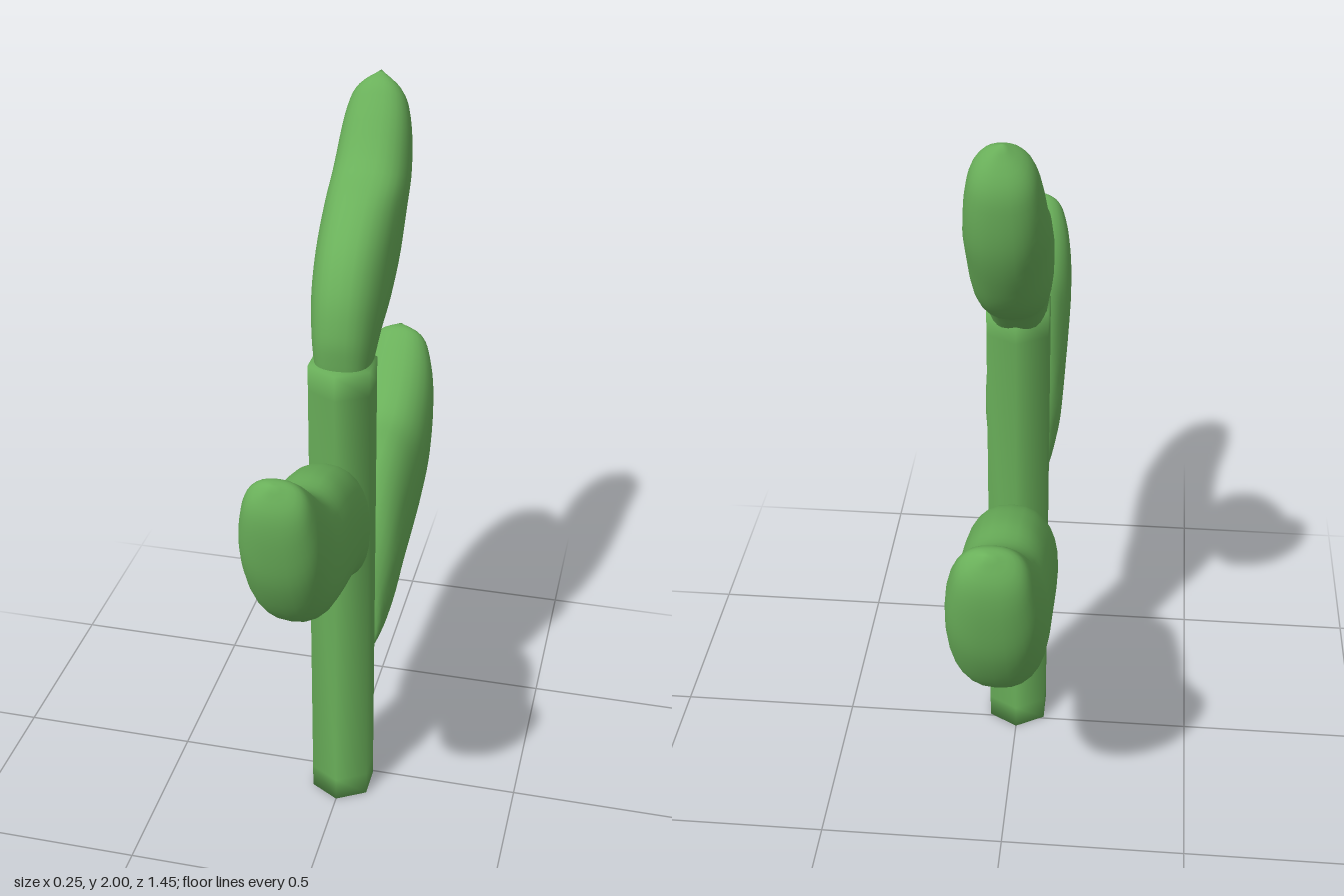
import * as THREE from 'three';
import { mergeVertices } from 'three/addons/utils/BufferGeometryUtils.js';

const green = new THREE.MeshStandardMaterial({ color: 0x6ab05a });

// Weld coincident corners so the shading runs smoothly over the whole part
function smooth(geometry) {
  geometry.deleteAttribute('uv');
  geometry.deleteAttribute('normal');
  const welded = mergeVertices(geometry, 1e-5);
  welded.computeVertexNormals();
  return welded;
}

// Leaf lofted towards -z. Each row: lower edge (reach, y), upper edge (reach, y), half width
function leafGeometry(rows) {
  const RINGS = 44, SIDES = 28;
  const lower = new THREE.CatmullRomCurve3(rows.map(r => new THREE.Vector3(r[4], r[1], -r[0])), false, 'catmullrom');
  const upper = new THREE.CatmullRomCurve3(rows.map(r => new THREE.Vector3(r[4], r[3], -r[2])), false, 'catmullrom');
  const soften = v => Math.sign(v) * Math.abs(v) ** 0.85; // slightly squared oval
  const positions = [], index = [];
  for (let i = 0; i <= RINGS; i++) {
    const lo = lower.getPoint(i / RINGS), up = upper.getPoint(i / RINGS);
    for (let j = 0; j < SIDES; j++) {
      const a = j / SIDES * Math.PI * 2;
      const s = soften(Math.sin(a)) / 2;
      positions.push(lo.x * soften(Math.cos(a)),
        (lo.y + up.y) / 2 + (up.y - lo.y) * s,
        (lo.z + up.z) / 2 + (up.z - lo.z) * s);
      if (i < RINGS) {
        const k = (j + 1) % SIDES, p = i * SIDES, q = p + SIDES;
        index.push(p + j, q + j, p + k, p + k, q + j, q + k);
      }
    }
  }
  const g = new THREE.BufferGeometry();
  g.setAttribute('position', new THREE.Float32BufferAttribute(positions, 3));
  g.setIndex(index);
  return smooth(g);
}

const sideLeaf = [
  [0, 0.53, 0, 0.53, 0],
  [0.003, 0.435, 0, 0.62, 0.075],
  [0.03, 0.415, 0.02, 0.73, 0.1],
  [0.12, 0.465, 0.08, 0.83, 0.12],
  [0.24, 0.515, 0.17, 0.90, 0.125],
  [0.38, 0.54, 0.30, 0.948, 0.125],
  [0.50, 0.58, 0.42, 0.968, 0.125],
  [0.60, 0.655, 0.50, 1.01, 0.125],
  [0.68, 0.795, 0.575, 1.07, 0.118],
  [0.715, 0.93, 0.63, 1.115, 0.1],
  [0.725, 1.05, 0.665, 1.137, 0.07],
  [0.70, 1.137, 0.70, 1.137, 0],
];

const topLeaf = [
  [-0.05, 1.30, -0.05, 1.30, 0],
  [0, 1.32, -0.10, 1.33, 0.06],
  [0.035, 1.355, -0.117, 1.41, 0.075],
  [0.10, 1.42, -0.118, 1.48, 0.085],
  [0.19, 1.465, -0.095, 1.575, 0.095],
  [0.285, 1.535, -0.035, 1.67, 0.1],
  [0.35, 1.63, 0.07, 1.755, 0.1],
  [0.395, 1.73, 0.19, 1.815, 0.098],
  [0.415, 1.83, 0.285, 1.93, 0.085],
  [0.415, 1.91, 0.33, 1.98, 0.06],
  [0.38, 1.998, 0.38, 1.998, 0],
];

export function createModel() {
  const group = new THREE.Group();
  group.name = 'plant';
  const add = (name, geometry) => {
    const mesh = new THREE.Mesh(geometry, green);
    mesh.name = name;
    group.add(mesh);
    return mesh;
  };

  // Six-sided stem, softly shaded at both ends
  const profile = [[0, 0], [0.092, 0], [0.092, 0.07], [0.092, 1.31], [0.092, 1.38], [0, 1.38]];
  const stem = add('stem', smooth(new THREE.LatheGeometry(profile.map(p => new THREE.Vector2(...p)), 6)));
  stem.position.z = 0.052;

  // Large back leaf, and a smaller copy turned to the front
  const sideGeometry = leafGeometry(sideLeaf);
  add('backLeaf', sideGeometry);
  const front = add('frontLeaf', sideGeometry);
  front.rotation.y = Math.PI;
  front.scale.setScalar(0.863);
  front.position.set(0, 0.416, 0.102);

  // Steeper leaf growing from the stem's top
  add('topLeaf', leafGeometry(topLeaf));
  return group;
}
